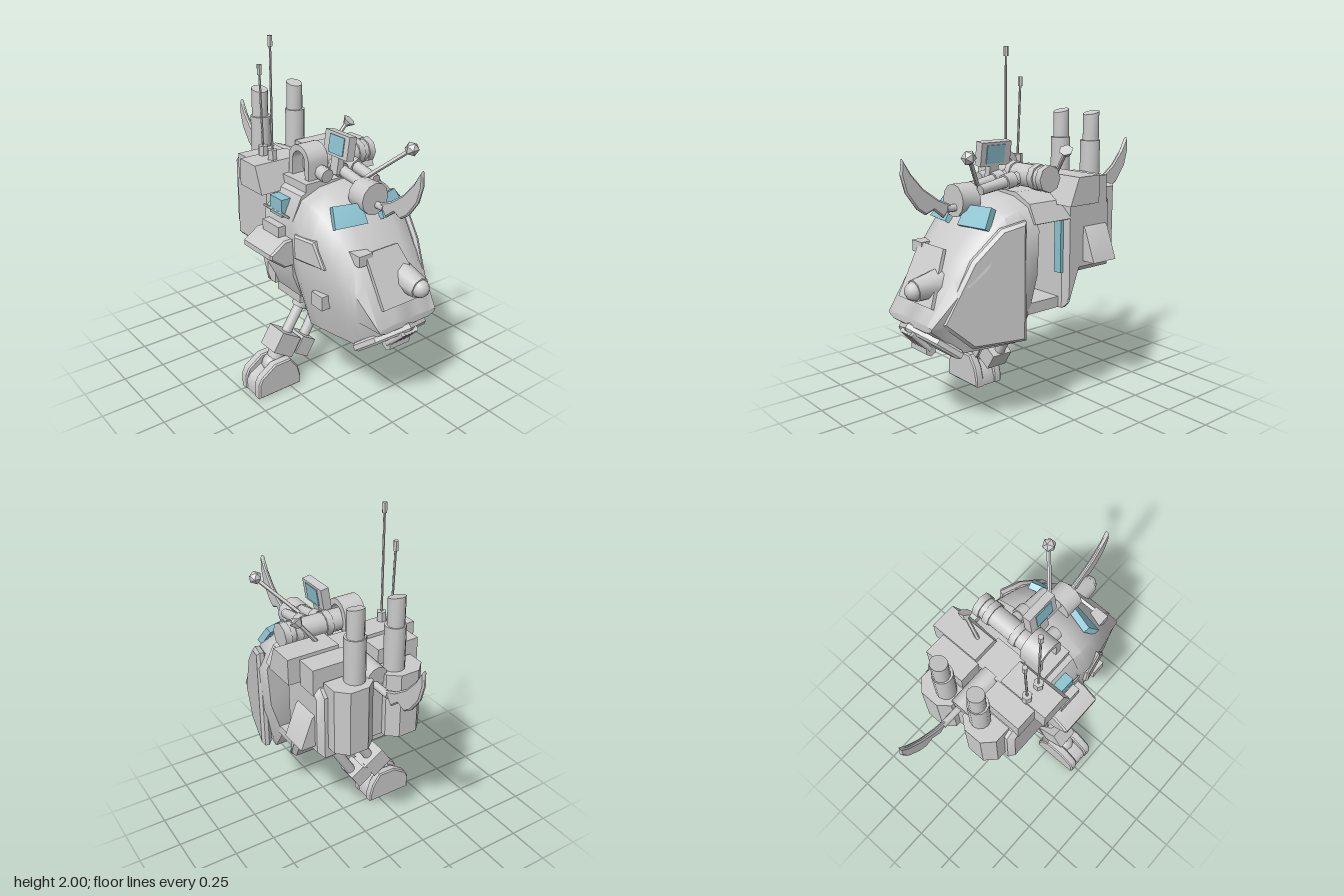
import * as THREE from 'three';
import { toCreasedNormals } from 'three/addons/utils/BufferGeometryUtils.js';

const ZC = -0.065; // symmetry plane of the hull
const grey = new THREE.MeshStandardMaterial({ color: 0xcccccc, side: THREE.DoubleSide });
const glass = new THREE.MeshStandardMaterial({ color: 0x8cc4d2, side: THREE.DoubleSide });
const V = (x, y, z) => new THREE.Vector3(x, y, z);

export function createModel() {
  const root = new THREE.Group();

  function add(name, geo, mat = grey, crease = 0.6) {
    const m = new THREE.Mesh(toCreasedNormals(geo, crease), mat);
    m.name = name;
    root.add(m);
    return m;
  }
  // box from its limits on each axis
  function box(name, x0, x1, y0, y1, z0, z1, mat) {
    return add(name, new THREE.BoxGeometry(x1 - x0, y1 - y0, z1 - z0)
      .translate((x0 + x1) / 2, (y0 + y1) / 2, (z0 + z1) / 2), mat);
  }
  // round bar between two points
  function bar(name, a, b, r0, r1 = r0, n = 12) {
    const d = b.clone().sub(a);
    const m = add(name, new THREE.CylinderGeometry(r1, r0, d.length(), n), grey, 0.9);
    m.position.copy(a).addScaledVector(d, 0.5);
    m.quaternion.setFromUnitVectors(V(0, 1, 0), d.normalize());
    return m;
  }
  function extrude(pts, depth, bevel = 0) {
    return new THREE.ExtrudeGeometry(new THREE.Shape(pts.map(p => new THREE.Vector2(...p))), {
      depth: depth - 2 * bevel, bevelEnabled: bevel > 0, bevelSize: bevel,
      bevelThickness: bevel, bevelOffset: -bevel, bevelSegments: 1,
    }).translate(0, 0, bevel);
  }
  // side profile (x, y) pushed from z0 to z1
  const sideCut = (name, pts, z0, z1, bevel) =>
    add(name, extrude(pts, z1 - z0, bevel).translate(0, 0, z0));
  // end profile (z, y) pushed from x0 to x1
  const endCut = (name, pts, x0, x1, bevel) =>
    add(name, extrude(pts, x1 - x0, bevel).rotateY(-Math.PI / 2).translate(x1, 0, 0));
  // flat panel with thickness lying across four corners
  function panel(name, c, t, mat) {
    const n = c[1].clone().sub(c[0]).cross(c[3].clone().sub(c[0])).normalize().multiplyScalar(t);
    const p = [...c, ...c.map(v => v.clone().add(n))];
    const quads = [[4, 5, 6, 7], [3, 2, 1, 0]];
    for (let i = 0; i < 4; i++) quads.push([i, (i + 1) % 4, 4 + (i + 1) % 4, 4 + i]);
    const pts = quads.flatMap(([a, b, d, e]) => [a, b, d, a, d, e].map(i => p[i]));
    return add(name, new THREE.BufferGeometry().setFromPoints(pts), mat);
  }

  // head: cross-sections along x, [x, bottom, top, half width]
  const stations = [[0.17, 0.6, 1.24, 0.33], [0.26, 0.46, 1.24, 0.335], [0.34, 0.46, 1.21, 0.32],
    [0.42, 0.46, 1.15, 0.3], [0.48, 0.46, 1.08, 0.285], [0.57, 0.46, 0.97, 0.26], [0.62, 0.5, 0.89, 0.24],
    [0.76, 0.6, 0.64, 0.2]];
  const rings = stations.map(([x, b, t, w]) => {
    const h = t - b;
    const half = [[0, t], [0.45 * w, t - 0.02 * h], [0.8 * w, t - 0.09 * h], [w, t - 0.27 * h],
      [0.96 * w, b + 0.35 * h], [0.76 * w, b]];
    return [...half.map(([z, y]) => V(x, y, ZC + z)),
      ...half.slice(1).reverse().map(([z, y]) => V(x, y, ZC - z))];
  });
  const tris = [];
  const N = rings[0].length, last = rings[rings.length - 1];
  for (let s = 0; s < rings.length - 1; s++) for (let i = 0; i < N; i++) {
    const j = (i + 1) % N, A = rings[s], B = rings[s + 1];
    tris.push(A[i], B[j], B[i], A[i], A[j], B[j]);
  }
  for (let i = 1; i < N - 1; i++) {
    tris.push(last[0], last[i], last[i + 1], rings[0][0], rings[0][i + 1], rings[0][i]);
  }
  add('head', new THREE.BufferGeometry().setFromPoints(tris), grey, 0.7);

  // windscreens, one each side of the centre line, sunk into the slope
  for (const s of [1, -1]) {
    const q = [V(0.455, 1.08, ZC + s * 0.045), V(0.42, 1.08, ZC + s * 0.235),
      V(0.355, 1.18, ZC + s * 0.205), V(0.4, 1.18, ZC + s * 0.05)];
    panel('windscreen', s > 0 ? q.reverse() : q, 0.04, glass);
  }
  // side plates of the head, hinged at x = 0.26 and turned along its taper
  function sidePlate(name, pts, z, thick, bevel, turn) {
    const m = add(name, extrude(pts.map(([x, y]) => [x - 0.26, y]), thick, bevel));
    m.position.set(0.26, 0, z);
    m.rotation.y = turn;
  }
  sidePlate('cheekPlate', [[0.26, 0.49], [0.56, 0.49], [0.73, 0.64], [0.56, 0.95], [0.4, 1.1], [0.26, 1.13]],
    -0.41, 0.06, 0.018, -0.27);
  sidePlate('sideHatch', [[0.23, 0.88], [0.44, 0.88], [0.37, 1.02], [0.23, 1.02]], 0.245, 0.04, 0.01, 0.2);
  box('sidePort', 0.36, 0.45, 0.65, 0.73, 0.18, 0.26);
  // face plate, small vent and mouth
  panel('facePlate', [V(0.57, 0.98, -0.13), V(0.57, 0.98, 0.09), V(0.715, 0.71, 0.08), V(0.715, 0.71, -0.22)], 0.02);
  box('faceVent', 0.5, 0.6, 0.93, 0.99, 0.05, 0.14);
  const chin = endCut('chin', [[ZC - 0.22, 0], [ZC + 0.22, 0], [ZC + 0.18, 0.15], [ZC, 0.24], [ZC - 0.18, 0.15]], 0, 0.05, 0.012);
  chin.position.set(0.575, 0.475, 0);
  chin.rotation.z = -0.9;
  for (let i = -2; i <= 2; i++) {
    bar('tooth', V(0.68, 0.47, ZC + i * 0.03), V(0.775, 0.57, ZC + i * 0.022), 0.016, 0.016, 8);
  }
  bar('lowerLip', V(0.68, 0.465, ZC - 0.07), V(0.68, 0.465, ZC + 0.07), 0.033, 0.033, 6);
  // nose lamp
  bar('noseLampHousing', V(0.6, 0.82, -0.13), V(0.77, 0.8, -0.13), 0.08, 0.06, 8);
  add('noseLamp', new THREE.SphereGeometry(0.05, 12, 8).translate(0.77, 0.8, -0.13), grey, 1);

  // cabin shell, open on one side
  endCut('cabinShell', [[0.2, 0.6], [0.26, 0.75], [0.265, 1.06], [0.2, 1.2], [0.1, 1.25], [-0.23, 1.25],
    [-0.34, 1.2], [-0.39, 1.1], [-0.36, 1.09], [-0.22, 1.2], [0.08, 1.21], [0.16, 1.16], [0.23, 1.05],
    [0.23, 0.77], [0.16, 0.66], [-0.33, 0.66], [-0.33, 0.6]], -0.06, 0.19);
  box('sideWindow', 0, 0.11, 1.07, 1.17, 0.19, 0.272, glass);
  box('doorGlass', -0.035, -0.015, 0.8, 1.09, -0.36, -0.31, glass);
  bar('windowRail', V(-0.06, 1.09, 0.27), V(0.17, 1.09, 0.27), 0.007, 0.007, 6);
  endCut('sidePod', [[0.24, 0.81], [0.31, 0.81], [0.4, 0.88], [0.4, 0.91], [0.31, 0.97], [0.24, 0.97]], -0.08, 0.19, 0.01);
  box('podCap', -0.02, 0.13, 0.93, 1.03, 0.24, 0.31);

  // rear hull with its side wedge
  sideCut('rearHull', [[-0.38, 0.79], [-0.15, 0.79], [-0.06, 0.6], [-0.03, 0.6], [-0.03, 1.2], [-0.34, 1.2], [-0.38, 1.16]],
    ZC - 0.32, ZC + 0.32, 0.03);
  endCut('sideWedge', [[-0.36, 1.06], [-0.4, 1.03], [-0.47, 0.85], [-0.36, 0.85]], -0.33, -0.16);
  // shoulder blocks
  for (const s of [1, -1]) {
    const span = (a, b) => [ZC + s * a, ZC + s * b].sort((p, q) => p - q);
    sideCut('shoulder', [[-0.2, 1.18], [0.01, 1.18], [-0.05, 1.33], [-0.2, 1.33]], ...span(0.09, 0.395));
    box('shoulderRear', -0.33, -0.2, 1.16, 1.31, ...span(0.07, 0.325));
  }
  box('roofBlock', -0.2, -0.01, 1.16, 1.28, ZC - 0.1, ZC + 0.1);

  // stack housings and exhaust stacks
  box('rearBlock', -0.42, -0.34, 0.85, 1.18, ZC - 0.2, ZC + 0.2);
  for (const s of [1, -1]) {
    const z = ZC + s * 0.122;
    const g = extrude([[-0.34, 0.04], [-0.34, 0.27], [-0.44, 0.27], [-0.5, 0.21], [-0.5, 0.1], [-0.45, 0.04]], 0.38)
      .rotateX(Math.PI / 2).translate(0, 1.23, 0);
    if (s < 0) g.rotateX(Math.PI).translate(0, 2.08, 0);
    add('stackHousing', g.translate(0, 0, ZC));
    bar('stack', V(-0.4, 1.15, z), V(-0.4, 1.48, z), 0.058);
    const tip = new THREE.CylinderGeometry(0.047, 0.047, 0.2, 12, 1);
    const p = tip.attributes.position;
    for (let i = 0; i < p.count; i++) if (p.getY(i) > 0) p.setY(i, 0.1 - p.getX(i) * 0.25);
    add('stackTip', tip.translate(-0.405, 1.535, z), grey, 0.9);
  }

  // curved tusks fore and aft with their sockets
  const blade = [[0.79, 1.46], [0.74, 1.38], [0.67, 1.3], [0.58, 1.235], [0.5, 1.2], [0.55, 1.135], [0.61, 1.185],
    [0.66, 1.165], [0.71, 1.2], [0.775, 1.29], [0.8, 1.38]].map(([x, y]) => [x + 0.015, y]);
  for (const s of [1, -1]) {
    const g = extrude(blade, 0.024, 0.008).translate(0, 0, -0.012);
    if (s < 0) g.rotateY(Math.PI);
    add('tusk', g.translate(-0.015, 0, -0.08));
  }
  bar('frontSocket', V(0.36, 1.215, ZC), V(0.475, 1.215, ZC), 0.088);
  bar('frontTuskMount', V(0.46, 1.18, -0.08), V(0.53, 1.18, -0.08), 0.02, 0.02, 8);
  bar('rearSocket', V(-0.18, 1.24, ZC), V(-0.43, 1.22, ZC), 0.06);
  bar('rearTuskMount', V(-0.42, 1.18, -0.08), V(-0.55, 1.18, -0.08), 0.02, 0.02, 8);

  // antennas
  for (const [x, tx, y] of [[-0.09, -0.093, 2], [-0.18, -0.2, 1.83]]) {
    bar('antennaBase', V(x, 1.3, 0.19), V(x, 1.385, 0.19), 0.028, 0.028, 6);
    bar('antenna', V(x, 1.38, 0.19), V(tx, y - 0.03, 0.19), 0.007, 0.007, 6);
    bar('antennaTip', V(tx, y - 0.055, 0.19), V(tx, y, 0.19), 0.014, 0.014, 6);
  }
  // sensor mast and small dish
  bar('sensorMast', V(0.33, 1.27, -0.09), V(0.5, 1.44, -0.25), 0.012, 0.012, 8);
  add('sensorBall', new THREE.IcosahedronGeometry(0.04).translate(0.52, 1.46, -0.265), grey, 0.2);
  bar('dishArm', V(-0.1, 1.31, -0.22), V(-0.08, 1.44, -0.32), 0.012, 0.012, 6);
  bar('dish', V(-0.09, 1.43, -0.32), V(-0.07, 1.46, -0.335), 0.015, 0.04, 6);

  // roof tube with bands and a hooded mouth
  bar('roofTube', V(0.065, 1.32, -0.34), V(0.065, 1.32, 0.06), 0.063);
  for (const z of [-0.36, -0.29, -0.1]) bar('tubeBand', V(0.065, 1.32, z), V(0.065, 1.32, z + 0.04), 0.073, 0.073, 8);
  const arch = (path, r, y0) => {
    path.moveTo(0.07 - r, y0);
    path.lineTo(0.07 + r, y0);
    path.absarc(0.07, 1.35, r, 0, Math.PI);
    return path;
  };
  const hood = arch(new THREE.Shape(), 0.09, 1.22);
  hood.holes.push(arch(new THREE.Path(), 0.055, 1.25));
  add('hood', new THREE.ExtrudeGeometry(hood, { depth: 0.13, bevelEnabled: false, curveSegments: 8 }));
  bar('hoodBarrel', V(0.14, 1.3, 0.05), V(0.22, 1.29, 0.05), 0.04, 0.04, 8);
  box('roofStep', -0.02, 0.19, 1.2, 1.26, 0.02, 0.17);
  for (const z of [-0.16, -0.06]) {
    bar('roofBarrel', V(0.12, 1.31, z), V(0.37, 1.27, z), 0.035, 0.028, 8);
    bar('barrelCollar', V(0.15, 1.305, z), V(0.21, 1.295, z), 0.044, 0.044, 8);
  }
  // monitor box with glass on both faces
  const monitor = new THREE.Group();
  monitor.name = 'monitor';
  monitor.add(box('monitorCase', -0.1, 0.1, -0.065, 0.065, -0.025, 0.025),
    box('monitorGlass', -0.055, 0.065, -0.05, 0.05, -0.03, 0.03, glass),
    box('monitorNeck', -0.03, 0.03, -0.16, -0.06, -0.02, 0.02));
  monitor.position.set(0.195, 1.44, -0.05);
  monitor.rotation.x = -0.15;
  root.add(monitor);

  // hip and twin-piston leg
  box('hip', -0.06, 0.16, 0.54, 0.64, -0.13, 0.19);
  for (const [z0, y0, z1, y1] of [[0.05, 0.56, 0.25, 0.25], [-0.1, 0.56, 0.11, 0.2]]) {
    bar('hipSleeve', V(0.05, y0, z0), V(0.05, y0 - 0.11, z0 + 0.07), 0.05, 0.045, 8);
    bar('piston', V(0.05, y0, z0), V(0.05, y1, z1), 0.031);
  }
  const turned = (m, y, z) => {
    m.position.set(0, y, z);
    m.rotation.x = -0.57;
  };
  turned(box('kneeBlock', -0.015, 0.12, -0.06, 0.065, -0.075, 0.07), 0.265, 0.255);
  turned(box('kneeLink', -0.01, 0.11, -0.045, 0.045, -0.1, 0.05), 0.24, 0.19);
  turned(box('kneeRear', -0.015, 0.12, -0.055, 0.055, -0.05, 0.05), 0.21, 0.125);
  bar('ankle', V(0.055, 0.26, 0.26), V(0.055, 0.12, 0.32), 0.05, 0.05, 10);
  // foot: two cheeks around a lower core
  const sole = [[0.18, 0], [0.47, 0], [0.47, 0.09], [0.45, 0.13], [0.36, 0.19], [0.25, 0.19], [0.2, 0.12], [0.18, 0.05]];
  for (const [x0, x1] of [[-0.04, 0.015], [0.095, 0.15]]) endCut('footCheek', sole, x0, x1, 0.008);
  endCut('footCore', sole.map(([z, y]) => [0.32 + (z - 0.32) * 0.96, y * 0.75]), 0, 0.11);
  add('ankleBall', new THREE.SphereGeometry(0.06, 12, 8).translate(0.055, 0.14, 0.32), grey, 1);

  return root;
}
